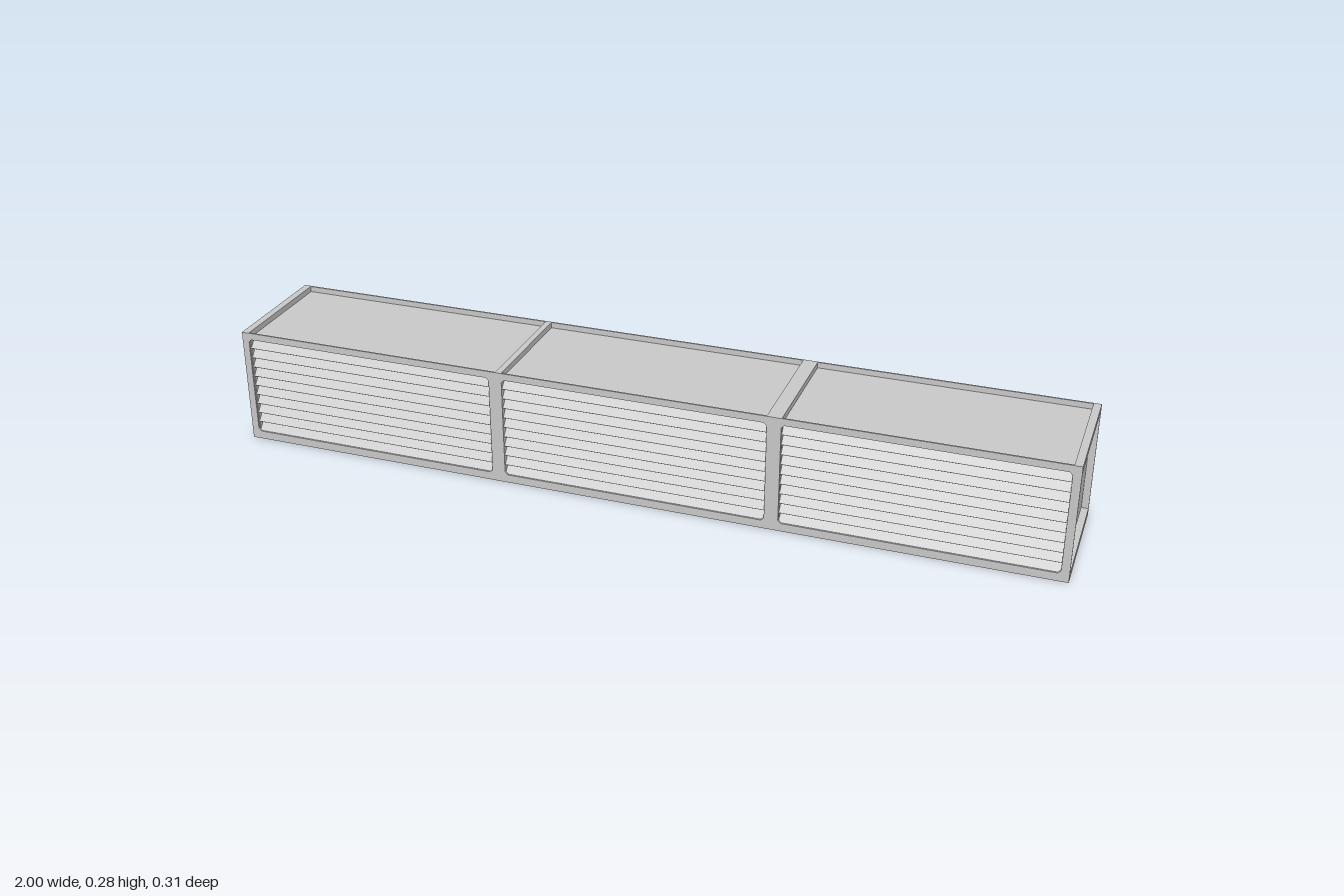
import * as THREE from 'three';

const H = 0.285, D = 0.153, PLATE = 0.004;
// x ranges of the three louvred bays, and the height range of their openings
const BAYS = [[-0.983, -0.352], [-0.32, 0.316], [0.349, 0.981]];
const Y0 = 0.02, Y1 = 0.268;

export function createModel() {
  const model = new THREE.Group();
  const grey = new THREE.MeshStandardMaterial({ color: 0xcccccc, side: THREE.DoubleSide });

  const add = (name, geometry, parent = model) => {
    const mesh = new THREE.Mesh(geometry, grey);
    mesh.name = name;
    parent.add(mesh);
    return mesh;
  };
  const box = (name, x0, x1, y0, y1, z0, z1, parent) => {
    const mesh = add(name, new THREE.BoxGeometry(x1 - x0, y1 - y0, z1 - z0), parent);
    mesh.position.set((x0 + x1) / 2, (y0 + y1) / 2, (z0 + z1) / 2);
    return mesh;
  };

  // face plate with three openings, corners cut slightly
  const plate = new THREE.Shape([[-1, 0], [1, 0], [1, H], [-1, H]].map(p => new THREE.Vector2(...p)));
  const c = 0.007;
  for (const [a, b] of BAYS) {
    plate.holes.push(new THREE.Path([
      [a + c, Y0], [a, Y0 + c], [a, Y1 - c], [a + c, Y1],
      [b - c, Y1], [b, Y1 - c], [b, Y0 + c], [b - c, Y0],
    ].map(p => new THREE.Vector2(...p))));
  }
  const plateGeometry = new THREE.ExtrudeGeometry(plate, { depth: PLATE, bevelEnabled: false });
  add('frontPlate', plateGeometry).position.z = D - PLATE;
  add('backPlate', plateGeometry).position.z = -D;

  // recessed top, bottom and end panels
  const zi = D - PLATE, t = 0.003;
  box('topPanel', -0.982, 0.982, Y1, Y1 + t, -zi, zi);
  box('bottomPanel', -0.982, 0.982, Y0 - t, Y0, -zi, zi);
  for (const s of [-1, 1]) {
    const x = s * 0.982;
    box(s > 0 ? 'leftEndPanel' : 'rightEndPanel', x - t / 2, x + t / 2, Y0, Y1, -zi, zi);
    // corner rails along the depth
    const [x0, x1] = s > 0 ? [0.982, 1] : [-1, -0.982];
    box('lowerEndRail', x0, x1, 0, 0.019, -zi, zi);
    box('upperEndRail', x0, x1, Y1, H, -zi, zi);
  }

  // cross ribs over and under the shell, with divider walls inside
  for (const [x0, x1] of [[-0.335, -0.32], [0.315, 0.35]]) {
    box('topRib', x0, x1, Y1, H, -zi, zi);
    box('bottomRib', x0, x1, 0, Y0, -zi, zi);
    box('divider', x0, x1, Y0, Y1, -zi, zi);
  }

  // sloping slats: the lower edge of each points outwards
  const COUNT = 10, TILT = 0.7, pitch = (Y1 - Y0) / COUNT;
  for (const side of [1, -1]) {
    const louvres = new THREE.Group();
    louvres.name = side > 0 ? 'frontLouvres' : 'backLouvres';
    model.add(louvres);
    for (const [a, b] of BAYS) {
      const slat = new THREE.BoxGeometry(b - a + 0.002, pitch / Math.cos(TILT), 0.002);
      for (let i = 0; i < COUNT; i++) {
        const mesh = add('slat', slat, louvres);
        mesh.position.set((a + b) / 2, Y0 + (i + 0.5) * pitch, side * (D - 0.014));
        mesh.rotation.x = -side * TILT;
      }
    }
  }
  return model;
}
